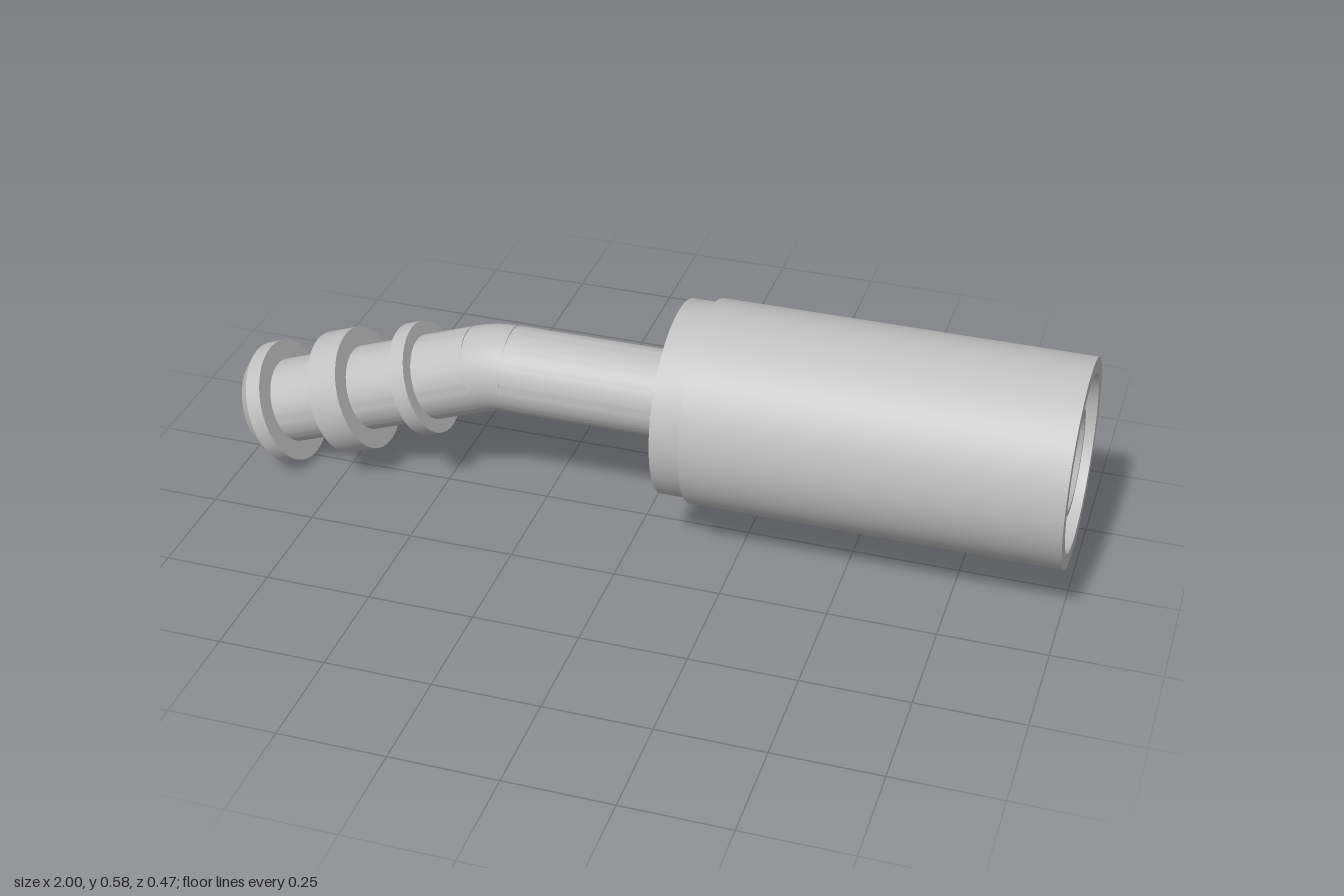
import * as THREE from 'three';
import { toCreasedNormals } from 'three/addons/utils/BufferGeometryUtils.js';

const AXIS_Y = 0.35;                      // height of the straight axis
const BEND_X = -0.365;                    // corner where the two axes meet
const ANGLE = THREE.MathUtils.degToRad(20);
const TANGENT = 0.04;                     // bend length on each side of the corner
const PIPE_R = 0.101, BORE_R = 0.052;

export function createModel() {
  const model = new THREE.Group();
  const steel = new THREE.MeshStandardMaterial({ color: 0xc0c0c0, side: THREE.DoubleSide });
  steel.name = 'steel';

  const add = (name, geometry, parent) => {
    const mesh = new THREE.Mesh(geometry, steel);
    mesh.name = name;
    parent.add(mesh);
  };
  // Profile points are [radius, distance along the axis]
  const turned = (points) =>
    toCreasedNormals(new THREE.LatheGeometry(points.map(([r, s]) => new THREE.Vector2(r, s)), 72), 0.35);

  // Straight section, its axis laid along +x
  const straight = new THREE.Group();
  straight.name = 'straightSection';
  straight.position.y = AXIS_Y;
  straight.rotation.z = -Math.PI / 2;
  model.add(straight);

  const bendStart = BEND_X + TANGENT;
  add('collar', turned([[PIPE_R, 0.075], [0.226, 0.075], [0.226, 0.145]]), straight);
  add('sleeve', turned([[0.226, 0.145], [0.237, 0.145], [0.237, 1], [0.201, 1], [0.172, 0.2], [0.143, 0.2]]), straight);
  add('nipple', turned([[0.143, 0.2], [0.123, 0.985], [0.11, 0.985], [BORE_R, 0.905], [BORE_R, bendStart]]), straight);
  add('straightPipe', turned([[PIPE_R, bendStart], [PIPE_R, 0.075]]), straight);

  // Rounded bend, outer wall and bore
  const bendRadius = TANGENT / Math.tan(ANGLE / 2);
  const arc = [];
  for (let i = 0; i <= 8; i++) {
    const a = (ANGLE * i) / 8;
    arc.push(new THREE.Vector3(
      bendStart - bendRadius * Math.sin(a), AXIS_Y - bendRadius * (1 - Math.cos(a)), 0));
  }
  const path = new THREE.CatmullRomCurve3(arc);
  add('bend', new THREE.TubeGeometry(path, 12, PIPE_R, 72), model);
  add('bendBore', new THREE.TubeGeometry(path, 12, BORE_R, 72), model);

  // Angled tail, measured from the corner of the bend
  const tail = new THREE.Group();
  tail.name = 'angledTail';
  tail.position.set(BEND_X, AXIS_Y, 0);
  tail.rotation.z = Math.PI / 2 + ANGLE;
  model.add(tail);

  add('tailPipe', turned([[PIPE_R, TANGENT], [PIPE_R, 0.565]]), tail);
  const ring = (name, r, from, to) =>
    add(name, turned([[PIPE_R, from], [r, from], [r, to], [PIPE_R, to]]), tail);
  ring('thinFlange', 0.134, 0.175, 0.214);
  ring('wideFlange', 0.147, 0.352, 0.43);

  // Chamfered end with a narrow opening into the bore
  add('endFlange', turned([
    [PIPE_R, 0.565], [0.147, 0.565], [0.147, 0.603], [0.122, 0.632],
    [0.032, 0.632], [0.025, 0.622], [0.025, 0.56], [BORE_R, 0.54], [BORE_R, TANGENT],
  ]), tail);

  return model;
}
